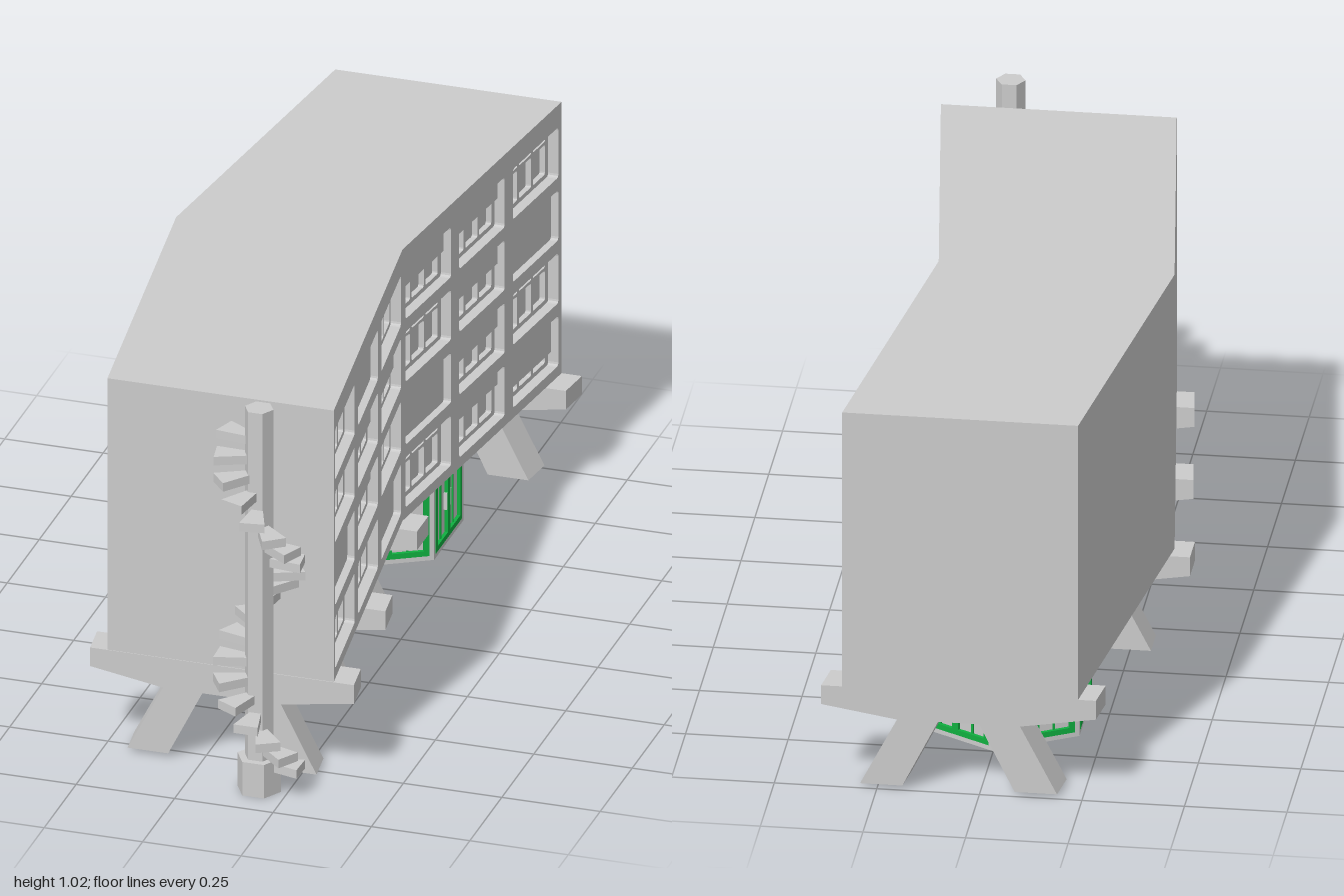
import * as THREE from 'three';

const grey = new THREE.MeshStandardMaterial({ color: 0xcccccc, flatShading: true });
const green = new THREE.MeshStandardMaterial({ color: 0x10b040, flatShading: true });

// Building outline: two wings meeting at a shallow bend
const FRONT = 0.787, BEND = -0.105, BACK = -0.995, WING = 0.89;
const BOTTOM = 0.265, TOP = 0.995, SLOPE = 0.115 / WING, HALF = 0.2875;
const REVEAL = 0.045;
const centreX = z => -0.0675 + SLOPE * Math.abs(z - BEND);

function add(parent, name, geometry, material = grey) {
  const mesh = new THREE.Mesh(geometry, material);
  mesh.name = name;
  parent.add(mesh);
  return mesh;
}

function polygon(points) {
  return new THREE.Shape(points.map(([x, y]) => new THREE.Vector2(x, y)));
}

function rect(x0, y0, x1, y1) {
  return polygon([[x0, y0], [x1, y0], [x1, y1], [x0, y1]]);
}

function roundRect(x0, y0, x1, y1, r, Type = THREE.Path) {
  const p = new Type();
  p.moveTo(x0 + r, y0);
  p.lineTo(x1 - r, y0);
  p.quadraticCurveTo(x1, y0, x1, y0 + r);
  p.lineTo(x1, y1 - r);
  p.quadraticCurveTo(x1, y1, x1 - r, y1);
  p.lineTo(x0 + r, y1);
  p.quadraticCurveTo(x0, y1, x0, y1 - r);
  p.lineTo(x0, y0 + r);
  p.quadraticCurveTo(x0, y0, x0 + r, y0);
  return p;
}

function extrude(shape, depth, start = 0) {
  const g = new THREE.ExtrudeGeometry(shape, { depth, bevelEnabled: false, curveSegments: 3 });
  return g.translate(0, 0, start);
}

// Solid block behind the window wall
function buildBody(parent) {
  const zs = [FRONT, BEND, BACK];
  const left = zs.map(z => [centreX(z) - HALF, -z]);
  const right = zs.map(z => [centreX(z) + HALF - REVEAL, -z]).reverse();
  const g = extrude(polygon([...left, ...right]), TOP - BOTTOM);
  add(parent, 'body', g.rotateX(-Math.PI / 2).translate(0, BOTTOM, 0));
}

// How far each blind is closed: rows from the top, columns from front to back
const BLINDS = [
  [0, 1, 0, 0.5, 0.45, 0],
  [0, 0.6, 0.6, 0, 0.5, 1],
  [1, 0.5, 0, 1, 0.5, 0],
  [0.3, 0, 1, 0, 0.4, 0.75],
];

// One wing of the window wall, drawn flat and then sheared into place
function buildFacade(parent, wing) {
  const startZ = wing === 0 ? FRONT : BEND;
  const dir = wing === 0 ? -SLOPE : SLOPE;
  const place = new THREE.Matrix4().makeBasis(
    new THREE.Vector3(dir, 0, -1), new THREE.Vector3(0, 1, 0), new THREE.Vector3(1, 0, 0));
  place.setPosition(centreX(startZ) + HALF, 0, startZ);
  const put = (name, g) => add(parent, name, g.applyMatrix4(place));

  const wall = rect(0, BOTTOM, startZ - (wing === 0 ? BEND : BACK), TOP);
  for (let row = 0; row < 4; row++) for (let col = 0; col < 3; col++) {
    const u = 0.017 + col * 0.3, w = 0.255, y = 0.8 - row * 0.169, h = 0.135;
    wall.holes.push(roundRect(u, y, u + w, y + h, 0.009));
    const closed = BLINDS[row][wing * 3 + col];

    if (closed < 1) {
      // Three casements, each with a small light above a tall one
      const frame = rect(u, y, u + w, y + h);
      for (let i = 0; i < 3; i++) {
        const a = u + 0.014 + i * 0.0775, b = a + 0.068;
        frame.holes.push(roundRect(a, y + 0.012, b, y + 0.092, 0.006));
        frame.holes.push(roundRect(a, y + 0.1, b, y + 0.124, 0.006));
      }
      put('windowFrame', extrude(frame, 0.014, -0.04));
    }
    if (closed > 0) put('blind', extrude(rect(u, y + h * (1 - closed), u + w, y + h), 0.015, -0.034));
  }
  put('windowWall', extrude(wall, REVEAL, -REVEAL));
}

// Cross beam with tapered ends on two splayed legs
function buildPier(parent, z) {
  const pier = new THREE.Group();
  pier.name = 'pier';
  const half = [[0.335, 0.265], [0.335, 0.215], [0.15, 0.185], [0.24, 0.01], [0.137, 0.01], [0.05, 0.185]];
  const mirrored = half.map(([x, y]) => [-x, y]).reverse();
  const g = extrude(polygon([...half, ...mirrored]), 0.09, -0.045);
  const slope = Math.abs(z - BEND) < 0.01 ? 0 : Math.sign(z - BEND) * SLOPE;
  g.applyMatrix4(new THREE.Matrix4().makeBasis(
    new THREE.Vector3(1, 0, 0), new THREE.Vector3(0, 1, 0), new THREE.Vector3(slope, 0, 1)));
  add(pier, 'beamAndLegs', g);
  pier.position.set(centreX(z) + 0.004, 0, z);
  parent.add(pier);
}

// Six-sided entrance room with a green double door in every wall
function buildLobby(parent) {
  const lobby = new THREE.Group();
  lobby.name = 'lobby';
  const R = 0.2275, apothem = R * Math.cos(Math.PI / 6), s = R / 2, t = 0.014;
  for (let i = 0; i < 6; i++) {
    const side = new THREE.Group();
    side.name = 'lobbySide';
    side.rotation.y = Math.PI / 2 + i * Math.PI / 3;

    const inner = s - t * Math.tan(Math.PI / 6);
    const wall = rect(-inner, 0.008, inner, BOTTOM);
    wall.holes.push(rect(-0.102, 0.02, 0.102, 0.205));
    add(side, 'lobbyWall', extrude(wall, t, apothem - t));

    const frame = rect(-0.102, 0.02, 0.102, 0.205);
    for (const k of [-1, 1]) {
      const x = k * 0.0485;
      frame.holes.push(rect(x - 0.0395, 0.034, x + 0.0395, 0.193));
      add(side, 'doorHandle', new THREE.BoxGeometry(0.004, 0.045, 0.008)
        .translate(k * 0.016, 0.12, apothem - 0.003));
      add(side, 'doorStile', new THREE.BoxGeometry(0.005, 0.16, 0.006)
        .translate(x, 0.113, apothem - 0.007), green);
    }
    add(side, 'doorFrame', extrude(frame, 0.011, apothem - 0.01), green);
    add(side, 'doorPanel', new THREE.BoxGeometry(0.204, 0.185, 0.004)
      .translate(0, 0.1125, apothem - 0.01));
    lobby.add(side);
    // Corner post closing the joint between two walls
    const post = add(lobby, 'cornerPost', new THREE.CylinderGeometry(0.01, 0.01, BOTTOM - 0.008, 6));
    const a = i * Math.PI / 3;
    post.position.set(Math.sin(a) * (R - 0.01), (BOTTOM + 0.008) / 2, Math.cos(a) * (R - 0.01));
  }
  lobby.position.set(0, 0, -0.5375);
  parent.add(lobby);
}

// Spiral stair: hexagonal pole, wider foot and wedge-shaped treads
function buildStair(parent) {
  const stair = new THREE.Group();
  stair.name = 'spiralStair';
  const hex = (r, h) => new THREE.CylinderGeometry(r, r, h, 6).rotateY(Math.PI / 6).translate(0, h / 2, 0);
  add(stair, 'pole', hex(0.036, 1.025));
  add(stair, 'poleFoot', hex(0.055, 0.09));
  const tread = extrude(polygon([[0.02, -0.012], [0.107, -0.031], [0.107, 0.031], [0.02, 0.012]]), 0.023)
    .rotateX(-Math.PI / 2);
  for (let i = 0; i < 20; i++) {
    const step = add(stair, 'tread', tread);
    step.position.y = 0.059 + i * 0.0455;
    step.rotation.y = -THREE.MathUtils.degToRad(90 + (i - 3) * 29.3);
  }
  stair.position.set(0.178, 0, 0.886);
  parent.add(stair);
}

export function createModel() {
  const model = new THREE.Group();
  model.name = 'apartmentBlock';
  buildBody(model);
  buildFacade(model, 0);
  buildFacade(model, 1);
  for (const z of [0.744, 0.335, BEND, -0.95]) buildPier(model, z);
  buildLobby(model);
  buildStair(model);
  return model;
}
